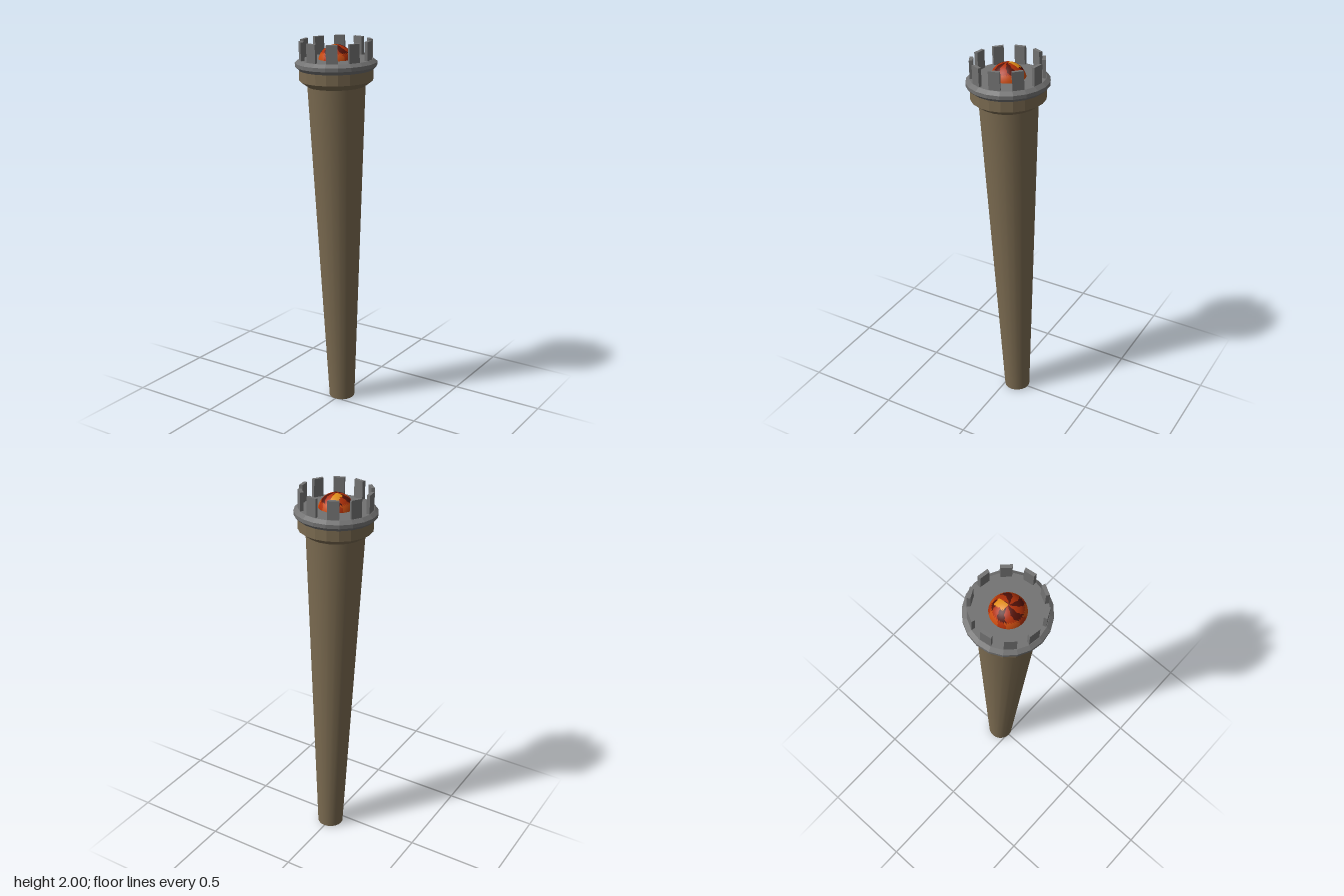
import * as THREE from 'three';

const SIDES = 20;

export function createModel() {
  const wood = new THREE.MeshStandardMaterial({ color: 0x7a6a50 });
  wood.name = 'wood';
  const bandWood = wood.clone();
  bandWood.name = 'collarWood';
  bandWood.flatShading = true;
  const iron = new THREE.MeshStandardMaterial({ color: 0x727272, flatShading: true });
  iron.name = 'iron';
  const embers = [['emberRed', 0xb03008], ['emberDark', 0x551208], ['emberYellow', 0xe08c18], ['emberOrange', 0xc84c10]]
    .map(([name, color]) => {
      const m = new THREE.MeshStandardMaterial({ color });
      m.name = name;
      return m;
    });

  const torch = new THREE.Group();
  torch.name = 'torch';
  const add = (name, geometry, material) => {
    const mesh = new THREE.Mesh(geometry, material);
    mesh.name = name;
    torch.add(mesh);
    return mesh;
  };
  const lathe = (pts) => new THREE.LatheGeometry(pts.map(([r, y]) => new THREE.Vector2(r, y)), SIDES);

  // Tapered handle
  add('handle', new THREE.CylinderGeometry(0.15, 0.07, 1.77, SIDES), wood).position.y = 0.885;

  // Flared collar under the iron rim
  add('collar', lathe([[0.145, 1.757], [0.19, 1.79], [0.19, 1.85]]), bandWood);

  // Bevelled rim closed by a flat plate
  add('rim', lathe([[0.188, 1.843], [0.21, 1.863], [0.21, 1.882], [0.19, 1.898], [0, 1.898]]), iron);

  // Ten crown teeth, each filling every second side of the rim
  const step = (Math.PI * 2) / SIDES;
  for (let i = 0; i < 10; i++) {
    const a = step * 2 * i;
    const corner = (r, t) => new THREE.Vector2(r * Math.cos(t), r * Math.sin(t));
    const outline = new THREE.Shape([
      corner(0.17, a), corner(0.188, a), corner(0.188, a + step), corner(0.17, a + step),
    ]);
    const tooth = new THREE.ExtrudeGeometry(outline, { depth: 0.1, bevelEnabled: false });
    tooth.rotateX(-Math.PI / 2);
    add('crownTooth' + (i + 1), tooth, iron).position.y = 1.892;
  }

  // Glowing ember dome, each facet given one of the ember colours
  const dome = new THREE.SphereGeometry(0.092, 40, 14, 0, Math.PI * 2, 0, Math.PI / 2);
  const pos = dome.attributes.position;
  const index = dome.index;
  dome.clearGroups();
  for (let f = 0; f < index.count; f += 3) {
    let x = 0, z = 0;
    for (let k = 0; k < 3; k++) {
      x += pos.getX(index.getX(f + k)) / 3;
      z += pos.getZ(index.getX(f + k)) / 3;
    }
    const r = Math.hypot(x, z);
    const wave = Math.sin(Math.atan2(z, x) * 5 + r * 40);
    let tone = wave > 0 ? 0 : 1;
    if (r > 0.075) tone = wave > -0.4 ? 3 : 0;
    if (x < 0 && x > -0.036 && z < 0 && z > -0.056) tone = 2;
    dome.addGroup(f, 3, tone);
  }
  add('emberDome', dome, embers).position.y = 1.878;

  // The whole torch leans slightly forward
  torch.rotation.x = 0.033;
  torch.position.set(0, 0.002, -0.062);

  const model = new THREE.Group();
  model.name = 'model';
  model.add(torch);
  return model;
}
